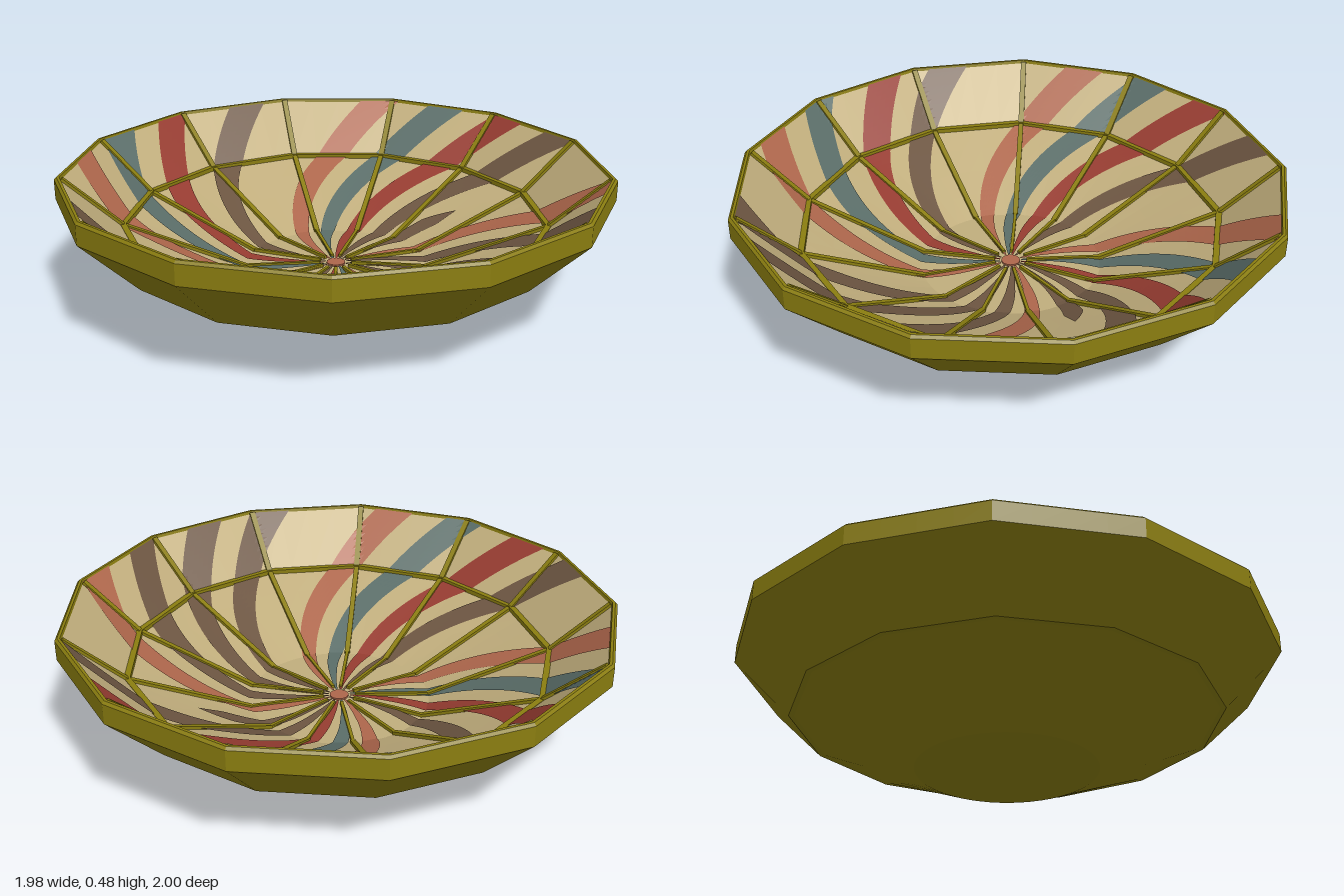
import * as THREE from 'three';

const material = (name, color) => {
  const m = new THREE.MeshStandardMaterial({ color });
  m.name = name;
  return m;
};

const SIDES = 13;
const STEP = (Math.PI * 2) / SIDES;
const DEG = Math.PI / 180;
const R = 1.007; // corner radius of the rim
const FLOOR = 0.335, BEND = 0.775, RIM = 0.985;
const FLOOR_Y = 0.1, BEND_Y = 0.28, RIM_Y = 0.465;

// Point at corner radius rho: a thirteen-sided outline that turns round at the foot
function point(rho, theta, y) {
  const local = theta - STEP * Math.round(theta / STEP - 0.5) - STEP / 2;
  const polygon = Math.cos(STEP / 2) / Math.cos(local);
  const blend = THREE.MathUtils.clamp((rho - FLOOR) / (BEND - FLOOR), 0, 1);
  const r = rho * THREE.MathUtils.lerp(1, polygon, blend);
  return new THREE.Vector3(r * Math.cos(theta), y, r * Math.sin(theta));
}

// Height of the inner surface
function innerY(rho) {
  if (rho < FLOOR) return FLOOR_Y;
  if (rho < BEND) return THREE.MathUtils.mapLinear(rho, FLOOR, BEND, FLOOR_Y, BEND_Y);
  return THREE.MathUtils.mapLinear(rho, BEND, RIM, BEND_Y, RIM_Y);
}

// Faceted sheet from a grid of points
function sheet(name, rows, cols, at, mat) {
  const pos = [], index = [];
  for (let i = 0; i <= rows; i++)
    for (let j = 0; j <= cols; j++) pos.push(...at(i, j / cols).toArray());
  for (let i = 0; i < rows; i++)
    for (let j = 0; j < cols; j++) {
      const a = i * (cols + 1) + j, up = a + cols + 1;
      index.push(a, up, a + 1, a + 1, up, up + 1);
    }
  let g = new THREE.BufferGeometry();
  g.setAttribute('position', new THREE.Float32BufferAttribute(pos, 3));
  g.setIndex(index);
  g = g.toNonIndexed();
  g.computeVertexNormals();
  const mesh = new THREE.Mesh(g, mat);
  mesh.name = name;
  return mesh;
}

const ring = (name, profile, mat) =>
  sheet(name, profile.length - 1, SIDES * 4,
    (i, t) => point(profile[i][0], t * Math.PI * 2, profile[i][1]), mat);

// Slim bar between two points, its top facing the bowl's opening
function bar(name, a, b, width, mat) {
  const dir = b.clone().sub(a);
  const mesh = new THREE.Mesh(new THREE.BoxGeometry(width, 0.024, dir.length()), mat);
  mesh.position.copy(a).add(b).multiplyScalar(0.5);
  const z = dir.clone().normalize();
  const x = new THREE.Vector3(0, 1, 0).cross(z).normalize();
  mesh.quaternion.setFromRotationMatrix(new THREE.Matrix4().makeBasis(x, z.clone().cross(x), z));
  mesh.name = name;
  return mesh;
}

export function createModel() {
  const olive = material('olive', 0x8a7d10);
  const cream = material('cream', 0xc0ad7c);
  const brown = material('brown', 0x6c5541);
  const red = material('red', 0x963c31);
  const coral = material('coral', 0xad664b);
  const blue = material('slate blue', 0x5a6d68);

  const bowl = new THREE.Group();
  bowl.name = 'bowl';
  bowl.position.x = -0.015;

  // Outer shell with a small ledge, an upright rim band and a bevelled lip
  bowl.add(ring('outerShell', [
    [0.0005, 0], [FLOOR, 0], [0.48, 0.062], [0.63, 0.126], [BEND, 0.187], [0.795, 0.187],
    [R, 0.395], [R, 0.468], [0.998, 0.477], [0.988, 0.477], [RIM, RIM_Y],
  ], olive));

  // Inner lining
  const lining = [RIM, BEND, 0.665, 0.555, 0.445, FLOOR, 0.0005].map((r) => [r, innerY(r)]);
  bowl.add(ring('innerLining', lining, cream));

  // Swirling painted stripes: colour, angle at the rim in degrees, outer end
  const stripes = [
    [brown, 117], [red, 100], [blue, 80.5], [coral, 62], [brown, 30], [brown, 12],
    [brown, -7], [coral, -25], [brown, -46, 0.57], [brown, -62], [red, -80],
    [blue, -98], [coral, -116], [brown, 209], [red, 188], [blue, 170], [coral, 152],
  ];
  const swirl = (r) => {
    const t = (r - 0.19) / 0.76;
    return 38 * Math.sign(t) * Math.abs(t) ** 1.2;
  };
  const paint = new THREE.Group();
  paint.name = 'paintedStripes';
  for (const [mat, angle, end = RIM] of stripes) {
    const radii = [];
    for (let i = 0; i <= 14; i++) radii.push(THREE.MathUtils.lerp(end, Math.min(end, BEND), i / 14));
    for (let i = 1; i <= 30; i++) radii.push(THREE.MathUtils.lerp(Math.min(end, BEND), 0.04, i / 30));
    paint.add(sheet('stripe', radii.length - 1, 6, (i, t) => {
      const r = radii[i];
      const half = end < RIM ? 4.8 * Math.min(1, (end - r) / 0.1) : 4.8;
      const theta = (angle - 38 + swirl(r) + (t * 2 - 1) * half) * DEG;
      return point(r, theta, innerY(r) + 0.005);
    }, mat));
  }
  const dot = new THREE.Mesh(new THREE.CylinderGeometry(0.035, 0.035, 0.006, 16), coral);
  dot.name = 'centreDot';
  dot.position.y = FLOOR_Y + 0.004;
  paint.add(dot);
  bowl.add(paint);

  // Raised ribs along the corners, and a ring of bars at the bend
  const ribs = new THREE.Group();
  ribs.name = 'ribs';
  for (let k = 0; k < SIDES; k++) {
    const at = (r, n = k) => point(r, n * STEP, innerY(r));
    ribs.add(
      bar('upperRib', at(BEND), at(RIM), 0.022, olive),
      bar('lowerRib', at(FLOOR), at(BEND), 0.02, olive),
      bar('floorRib', at(0.06), at(FLOOR), 0.012, olive),
      bar('ringBar', at(BEND), at(BEND, k + 1), 0.022, olive),
    );
  }
  bowl.add(ribs);

  const model = new THREE.Group();
  model.name = 'patternedBowl';
  model.add(bowl);
  return model;
}
